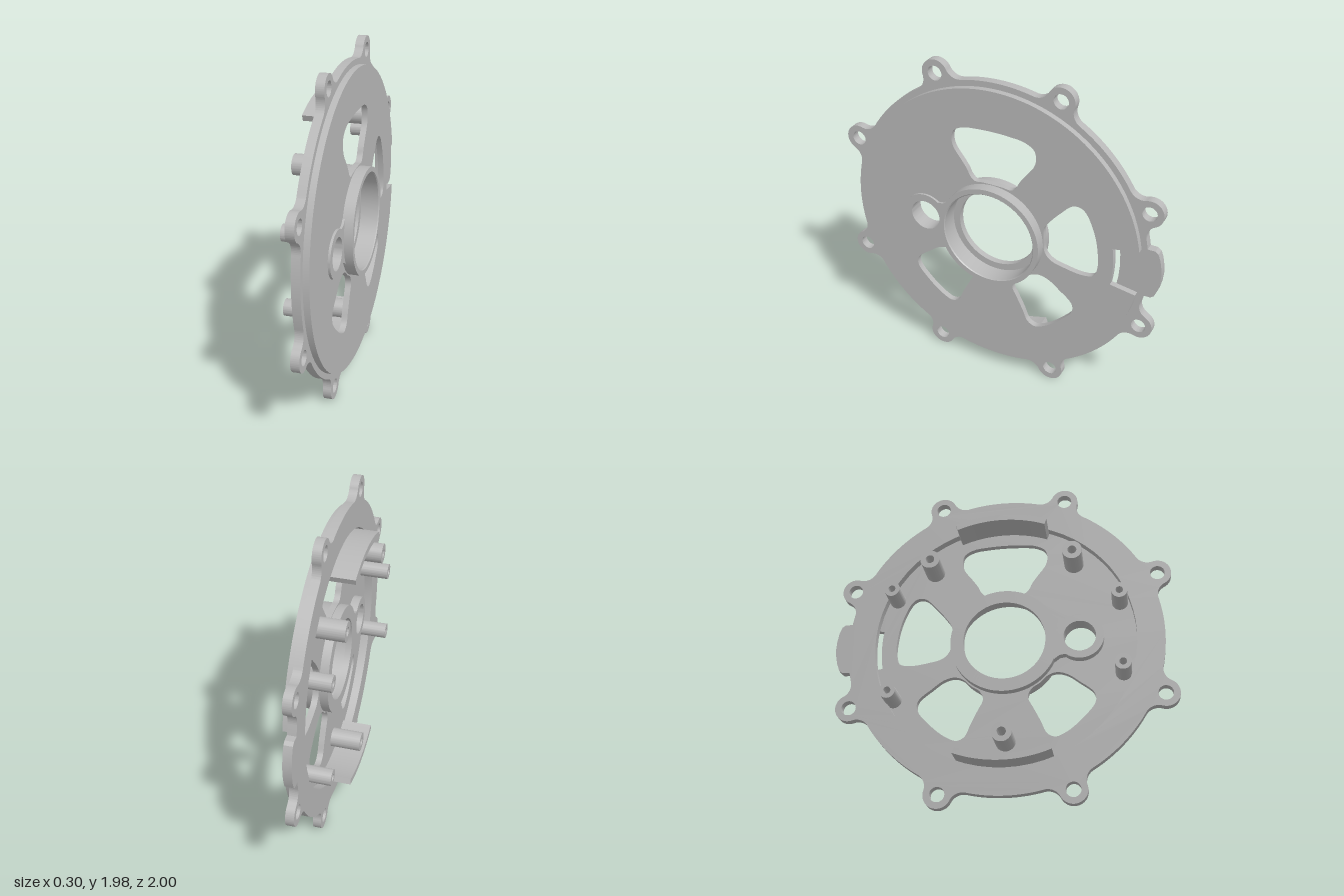
import * as THREE from 'three';
import { toCreasedNormals } from 'three/addons/utils/BufferGeometryUtils.js';

const metal = new THREE.MeshStandardMaterial({ color: 0xb8b8b8 });
metal.name = 'grey metal';

const DEG = Math.PI / 180;
const polar = (r, a) => new THREE.Vector2(r * Math.cos(a), r * Math.sin(a));
const V = (pts) => pts.map(([x, y]) => new THREE.Vector2(x, y));

const circle = (x, y, r) => new THREE.Path().absarc(x, y, r, 0, Math.PI * 2, false);

// Closed smooth opening through a few points
const opening = (pts) => new THREE.Path(
  new THREE.CatmullRomCurve3(pts.map(([x, y]) => new THREE.Vector3(x, y, 0)), true)
    .getPoints(72).slice(0, -1).map((p) => new THREE.Vector2(p.x, p.y)));

const mirror = (pts) => pts.map(([x, y]) => [-x, y]).reverse();

// Extrude a shape between two depths along the disc axis
function slab(name, shape, from, to, segments = 32) {
  const geo = new THREE.ExtrudeGeometry(shape, { depth: to - from, bevelEnabled: false, curveSegments: segments });
  geo.translate(0, 0, from);
  const mesh = new THREE.Mesh(toCreasedNormals(geo, 0.5), metal);
  mesh.name = name;
  return mesh;
}

// Rim outline: circle with eight filleted ears and one side tab
function rimShape() {
  const R = 0.93, ear = 0.08, fillet = 0.08, d = 0.984;
  const phi = Math.acos((d * d + (R + fillet) ** 2 - (ear + fillet) ** 2) / (2 * d * (R + fillet)));
  const s = new THREE.Shape();
  const tab = 9.6 * DEG;
  let last = tab;
  s.moveTo(R * Math.cos(tab), R * Math.sin(tab));
  for (let i = 0; i < 8; i++) {
    const a = (22.5 + 45 * i) * DEG;
    const E = polar(d, a), A = polar(R + fillet, a - phi), B = polar(R + fillet, a + phi);
    const dir = (p, q) => Math.atan2(q.y - p.y, q.x - p.x);
    s.absarc(0, 0, R, last, a - phi, false);
    s.absarc(A.x, A.y, fillet, a - phi + Math.PI, dir(A, E), true);
    s.absarc(E.x, E.y, ear, dir(E, A), dir(E, B), false);
    s.absarc(B.x, B.y, fillet, dir(B, E), a + phi + Math.PI, true);
    last = a + phi;
    s.holes.push(circle(E.x, E.y, 0.043));
  }
  s.absarc(0, 0, R, last, 2 * Math.PI - tab, false);
  for (const [x, y] of [[0.96, -0.155], [0.98, -0.14], [0.995, -0.1], [1.005, -0.05], [1.009, 0],
    [1.005, 0.05], [0.995, 0.1], [0.98, 0.14], [0.96, 0.155]]) s.lineTo(x, y);
  s.holes.push(circle(0, 0, 0.77));
  return s;
}

// Raised face: disc with a notch at the tab, four windows, a small hole and the hub seat
function faceShape() {
  const n = 9.3 * DEG;
  const s = new THREE.Shape();
  s.absarc(0, 0, 0.895, n, 2 * Math.PI - n, false);
  s.absarc(0, 0, 0.742, -n, n, false);
  const topHalf = [[0.06, 0.322], [0.115, 0.318], [0.145, 0.345], [0.165, 0.385], [0.2, 0.435], [0.247, 0.5],
    [0.26, 0.55], [0.248, 0.605], [0.19, 0.64], [0.1, 0.652]];
  const top = [...topHalf, [0, 0.656], ...mirror(topHalf)];
  const side = [[0.322, 0.05], [0.32, 0.125], [0.353, 0.18], [0.42, 0.26], [0.485, 0.322], [0.53, 0.326],
    [0.567, 0.3], [0.62, 0.19], [0.647, 0.075], [0.652, -0.04], [0.63, -0.096], [0.567, -0.112],
    [0.46, -0.1], [0.37, -0.075], [0.33, -0.03]];
  const lower = [[0.13, -0.345], [0.15, -0.295], [0.2, -0.26], [0.25, -0.215], [0.3, -0.2], [0.36, -0.215],
    [0.43, -0.265], [0.51, -0.335], [0.516, -0.39], [0.45, -0.475], [0.35, -0.56], [0.28, -0.588],
    [0.235, -0.565], [0.2, -0.49], [0.16, -0.41]];
  for (const w of [top, side, lower, mirror(lower)]) s.holes.push(opening(w));
  s.holes.push(circle(0, 0, 0.3), circle(-0.441, 0, 0.094));
  return s;
}

// Small eyelet joined to the hub by a flared neck
function eyeletShape() {
  const s = new THREE.Shape();
  s.absarc(-0.441, 0, 0.139, 52 * DEG, 308 * DEG, false);
  for (const [x, y] of [[-0.32, -0.115], [-0.287, -0.14], [-0.3, 0], [-0.287, 0.14], [-0.32, 0.115]]) s.lineTo(x, y);
  s.holes.push(circle(-0.441, 0, 0.094));
  return s;
}

// Hub: stepped bore turned around the disc axis
function hub() {
  const profile = V([[0.242, -0.008], [0.318, -0.008], [0.318, 0.143], [0.288, 0.143], [0.283, 0.137],
    [0.283, 0.03], [0.242, 0.03], [0.242, -0.008]]);
  const geo = new THREE.LatheGeometry(profile, 96);
  geo.rotateX(Math.PI / 2);
  const mesh = new THREE.Mesh(toCreasedNormals(geo, 0.5), metal);
  mesh.name = 'hub';
  return mesh;
}

// Curved wall standing on the back of the face
function wallShape(centre) {
  const h = 21 * DEG;
  const s = new THREE.Shape();
  s.absarc(0, 0, 0.767, centre - h, centre + h, false);
  s.absarc(0, 0, 0.73, centre + h, centre - h, true);
  return s;
}

export function createModel() {
  const disc = new THREE.Group();
  disc.name = 'cover';
  disc.add(slab('rim', rimShape(), -0.0075, 0.0425));
  disc.add(slab('face', faceShape(), 0.0425, 0.078, 96));
  disc.add(slab('eyelet', eyeletShape(), -0.008, 0.092));
  disc.add(hub());
  disc.add(slab('upperWall', wallShape(90 * DEG), -0.142, 0.045));
  disc.add(slab('lowerWall', wallShape(-90 * DEG), -0.14, 0.045));

  // Hollow screw posts on the back: x, y, radius, end depth
  const posts = [
    [-0.42, 0.495, 0.058, -0.142], [0.427, 0.495, 0.058, -0.142], [0, -0.605, 0.058, -0.14],
    [-0.682, 0.22, 0.047, -0.128], [-0.682, -0.225, 0.047, -0.13],
    [0.655, 0.32, 0.047, -0.128], [0.655, -0.325, 0.047, -0.13],
  ];
  for (const [x, y, r, end] of posts) {
    const s = new THREE.Shape().absarc(x, y, r, 0, Math.PI * 2, false);
    s.holes.push(circle(x, y, r * 0.45));
    disc.add(slab('post', s, end, 0.045));
  }

  // Turn the disc axis to x, then lean it slightly
  disc.rotation.y = Math.PI / 2;
  const lean = new THREE.Group();
  lean.name = 'leaningCover';
  lean.add(disc);
  lean.rotation.z = 0.0133;
  lean.position.set(0, 0.994, 0.01);
  const model = new THREE.Group();
  model.name = 'motorCover';
  model.add(lean);
  return model;
}
